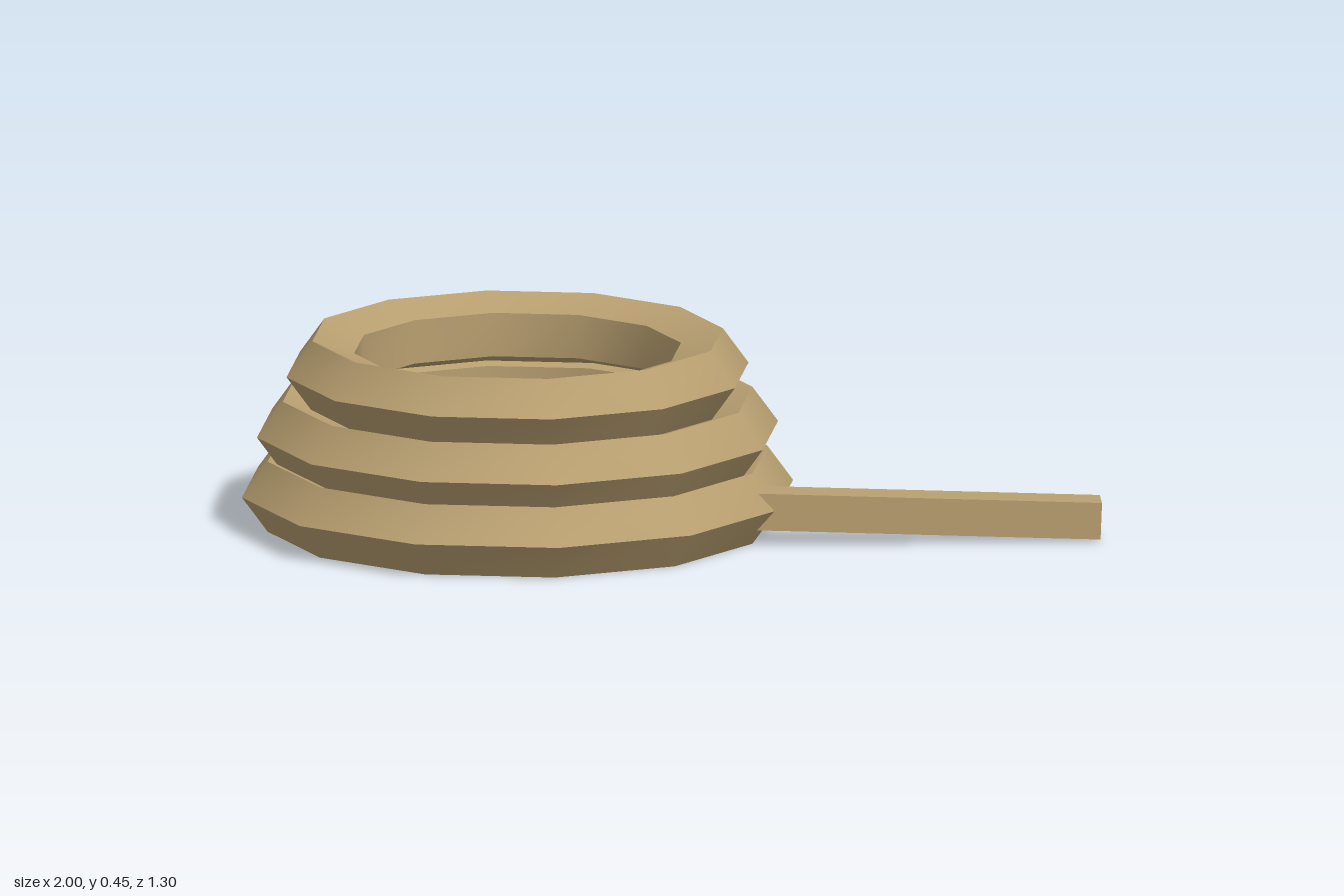
import * as THREE from 'three';
import { toCreasedNormals } from 'three/addons/utils/BufferGeometryUtils.js';

export function createModel() {
  const model = new THREE.Group();
  model.name = 'ropeCoil';

  const rope = new THREE.MeshStandardMaterial({ color: 0xb89f70, side: THREE.DoubleSide });
  rope.name = 'rope tan';

  const r = 0.0885; // rope thickness (radius)
  const centerX = -0.3475;
  const baseY = 0.0843;
  const loopRadii = [0.564, 0.5285, 0.4585];

  // Stacked loops: five-sided rope section, twelve segments around
  loopRadii.forEach((radius, i) => {
    const ring = new THREE.TorusGeometry(radius, r, 5, 12);
    ring.rotateX(-Math.PI / 2);
    const loop = new THREE.Mesh(toCreasedNormals(ring, 0.7), rope);
    loop.name = `coilLoop${i + 1}`;
    loop.position.set(centerX, baseY + i * 0.1425, 0);
    model.add(loop);
  });

  // Loose rope end: open square tube running out from the lowest loop
  const start = new THREE.Vector3(centerX + loopRadii[0], baseY, 0);
  const end = new THREE.Vector3(0.979, 0.05, -0.355);
  const tube = new THREE.CylinderGeometry(0.062, 0.062, start.distanceTo(end), 4, 1, true);
  tube.rotateY(Math.PI / 4);
  tube.rotateX(Math.PI / 2);
  const tail = new THREE.Mesh(toCreasedNormals(tube, 0.7), rope);
  tail.name = 'looseEnd';
  tail.position.copy(start).lerp(end, 0.5);
  tail.lookAt(end);
  model.add(tail);

  return model;
}
